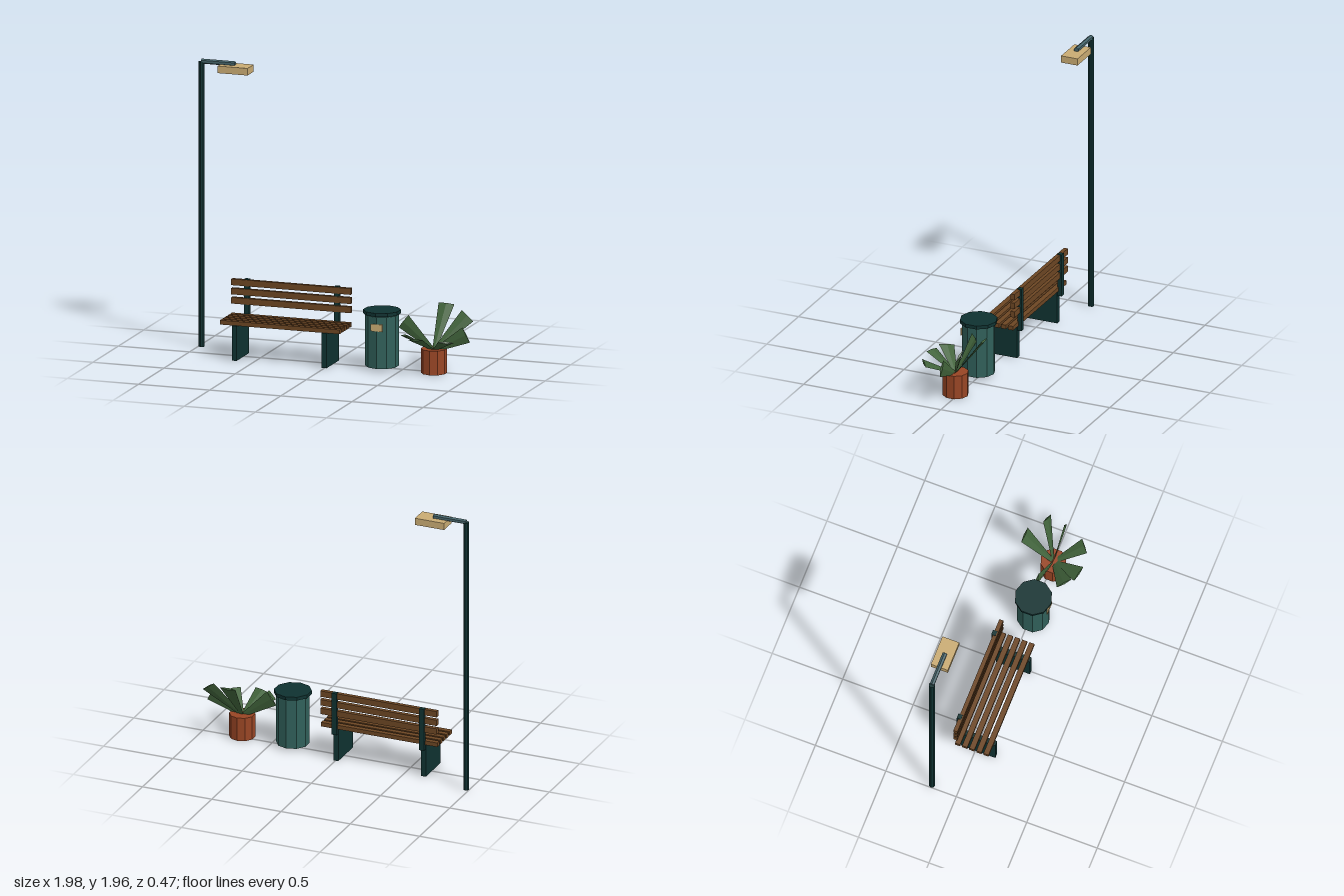
import * as THREE from 'three';

const mat = (name, color) => {
  const m = new THREE.MeshStandardMaterial({ color, flatShading: true });
  m.name = name;
  return m;
};

export function createModel() {
  const iron = mat('dark iron', 0x0f3231);
  const steel = mat('blue grey steel', 0x45646a);
  const wood = mat('brown wood', 0x6c4623);
  const binGreen = mat('bin green', 0x30605a);
  const cream = mat('cream', 0xc9ab73);
  const clay = mat('terracotta', 0x984524);
  const leafGreen = mat('leaf green', 0x40623a);

  const model = new THREE.Group();
  const group = (name) => {
    const g = new THREE.Group();
    g.name = name;
    model.add(g);
    return g;
  };
  const add = (parent, name, geo, material, x, y, z) => {
    const m = new THREE.Mesh(geo, material);
    m.name = name;
    m.position.set(x, y, z);
    parent.add(m);
    return m;
  };
  // Box given by its lower and upper limits on each axis
  const box = (parent, name, material, [x0, x1], [y0, y1], [z0, z1]) =>
    add(parent, name, new THREE.BoxGeometry(x1 - x0, y1 - y0, z1 - z0), material,
      (x0 + x1) / 2, (y0 + y1) / 2, (z0 + z1) / 2);
  const drum = (parent, name, material, r, sides, y0, y1, x, z) =>
    add(parent, name, new THREE.CylinderGeometry(r, r, y1 - y0, sides), material, x, (y0 + y1) / 2, z);

  // Street lamp
  const lamp = group('streetLamp');
  drum(lamp, 'lampPole', iron, 0.021, 8, 0, 1.935, -0.979, -0.18);
  const arm = add(lamp, 'lampArm', new THREE.CylinderGeometry(0.017, 0.017, 0.235, 6), steel, -0.862, 1.938, -0.18);
  arm.rotation.z = Math.PI / 2;
  arm.geometry.rotateY(Math.PI / 2);
  box(lamp, 'lampHead', cream, [-0.845, -0.635], [1.88, 1.928], [-0.24, -0.12]);

  // Bench: side panels with rear posts, five seat slats, three back slats
  const bench = group('bench');
  for (const x of [-0.635, -0.003]) {
    const across = [x - 0.017, x + 0.017];
    box(bench, 'benchLeg', iron, across, [0, 0.236], [-0.10, 0.142]);
    box(bench, 'backPost', iron, across, [0.2, 0.5], [-0.132, -0.102]);
  }
  for (let i = 0; i < 5; i++) {
    const z = 0.11 - i * 0.0505;
    box(bench, 'seatSlat', wood, [-0.74, 0.1], [0.235, 0.264], [z - 0.018, z + 0.018]);
  }
  for (let i = 0; i < 3; i++) {
    const y = 0.35 + i * 0.0625;
    box(bench, 'backSlat', wood, [-0.74, 0.1], [y - 0.021, y + 0.021], [-0.121, -0.093]);
  }

  // Litter bin
  const bin = group('litterBin');
  drum(bin, 'binBody', binGreen, 0.111, 10, 0.02, 0.37, 0.36, 0.02);
  drum(bin, 'binLid', iron, 0.126, 10, 0.376, 0.4, 0.36, 0.02);
  box(bin, 'binPlate', cream, [0.319, 0.401], [0.275, 0.323], [0.127, 0.135]);

  // Potted plant
  const plant = group('pottedPlant');
  drum(plant, 'pot', clay, 0.087, 10, 0, 0.165, 0.725, 0.02);

  // Leaves: flattened four-sided wedges, [tip centre, width direction]
  const base = new THREE.Vector3(0.725, 0.15, 0.02);
  const leaves = [
    [[0.738, 0.425, -0.19], [1, 0, 0]],
    [[0.918, 0.375, -0.1], [0.7, -0.6, 0.2]],
    [[0.95, 0.272, 0.018], [0.46, -0.89, 0]],
    [[0.868, 0.25, 0.185], [0.9, 0, -0.4]],
    [[0.667, 0.26, 0.222], [1, 0, 0]],
    [[0.567, 0.27, 0.158], [0.9, 0, 0.4]],
    [[0.5, 0.325, -0.012], [0.5, 0.85, 0]],
  ];
  for (const [tip, width] of leaves) {
    const axis = new THREE.Vector3(...tip).sub(base);
    const length = axis.length();
    axis.normalize();
    const normal = new THREE.Vector3(...width).cross(axis).normalize();
    const side = axis.clone().cross(normal);
    const geo = new THREE.CylinderGeometry(0.056, 0.012, length, 4);
    geo.scale(1, 1, 0.14);
    geo.translate(0, length / 2, 0);
    const leaf = add(plant, 'leaf', geo, leafGreen, base.x, base.y, base.z);
    leaf.quaternion.setFromRotationMatrix(new THREE.Matrix4().makeBasis(side, axis, normal));
  }
  return model;
}
